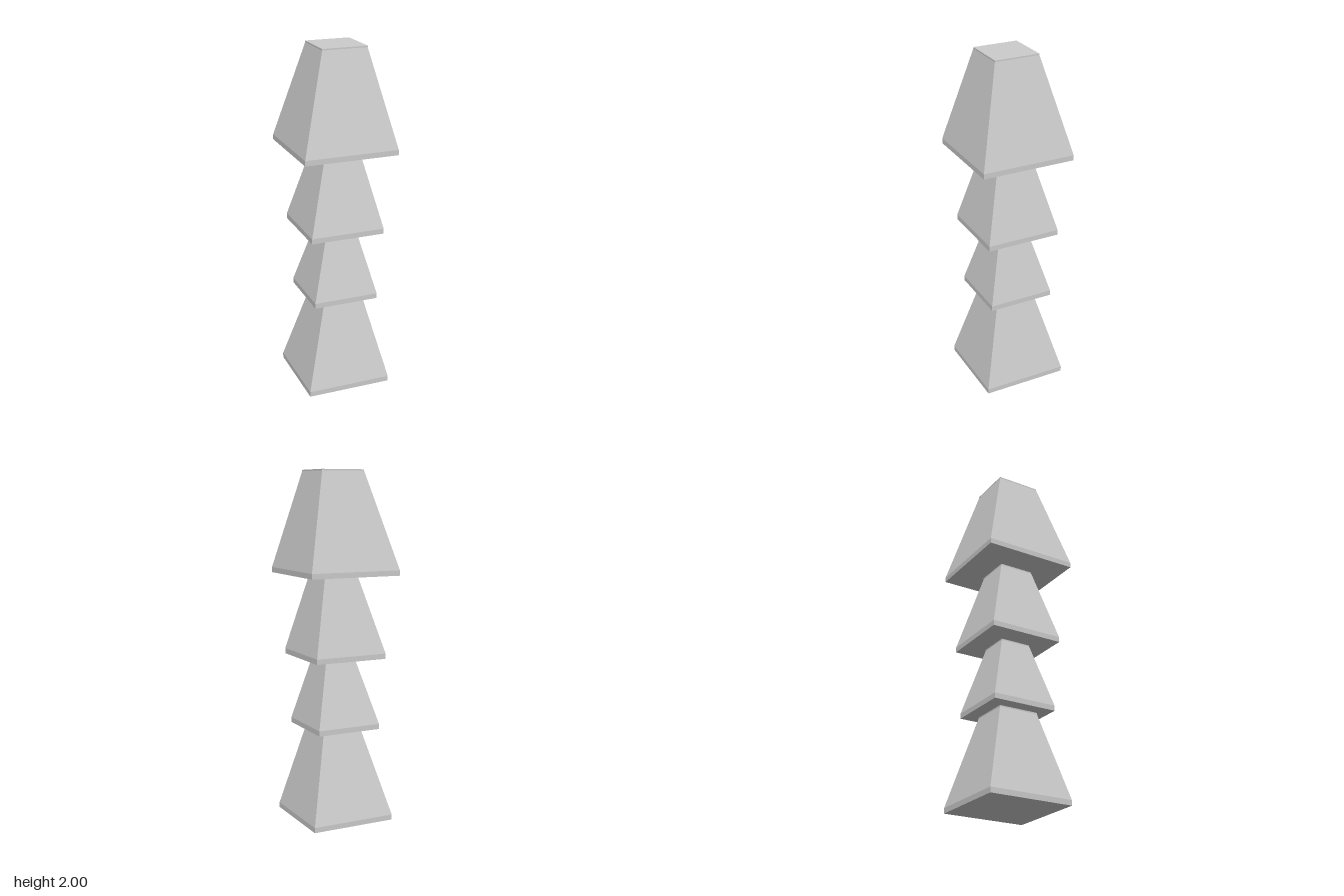
import * as THREE from 'three';

const material = new THREE.MeshStandardMaterial({ color: 0xcccccc, flatShading: true });

// Square tier: upright lip, sloping sides, thin upright rim on a slightly offset top
function tierGeometry(half, height) {
  const top = half * 0.478, shift = half * 0.027;
  const rings = [
    { y: 0, r: half, c: 0 },
    { y: 0.03, r: half, c: 0 },
    { y: height - 0.008, r: top, c: shift },
    { y: height, r: top, c: shift },
  ];
  const geometry = new THREE.BoxGeometry(2, 3, 2, 1, 3, 1);
  const p = geometry.attributes.position;
  for (let i = 0; i < p.count; i++) {
    const { y, r, c } = rings[Math.round(p.getY(i) + 1.5)];
    p.setXYZ(i, p.getX(i) * r + c, y, p.getZ(i) * r + c);
  }
  geometry.computeVertexNormals();
  return geometry;
}

export function createModel() {
  const group = new THREE.Group();
  group.name = 'tieredColumn';

  // Tiers stacked from the ground up: [name, base half width, bottom, top]
  const tiers = [
    ['baseTier', 0.247, 0, 0.534],
    ['lowerTier', 0.19, 0.534, 0.945],
    ['middleTier', 0.215, 0.945, 1.418],
    ['topTier', 0.27, 1.418, 2],
  ];
  for (const [name, half, bottom, top] of tiers) {
    const tier = new THREE.Mesh(tierGeometry(half, top - bottom), material);
    tier.name = name;
    tier.position.y = bottom;
    group.add(tier);
  }
  return group;
}
